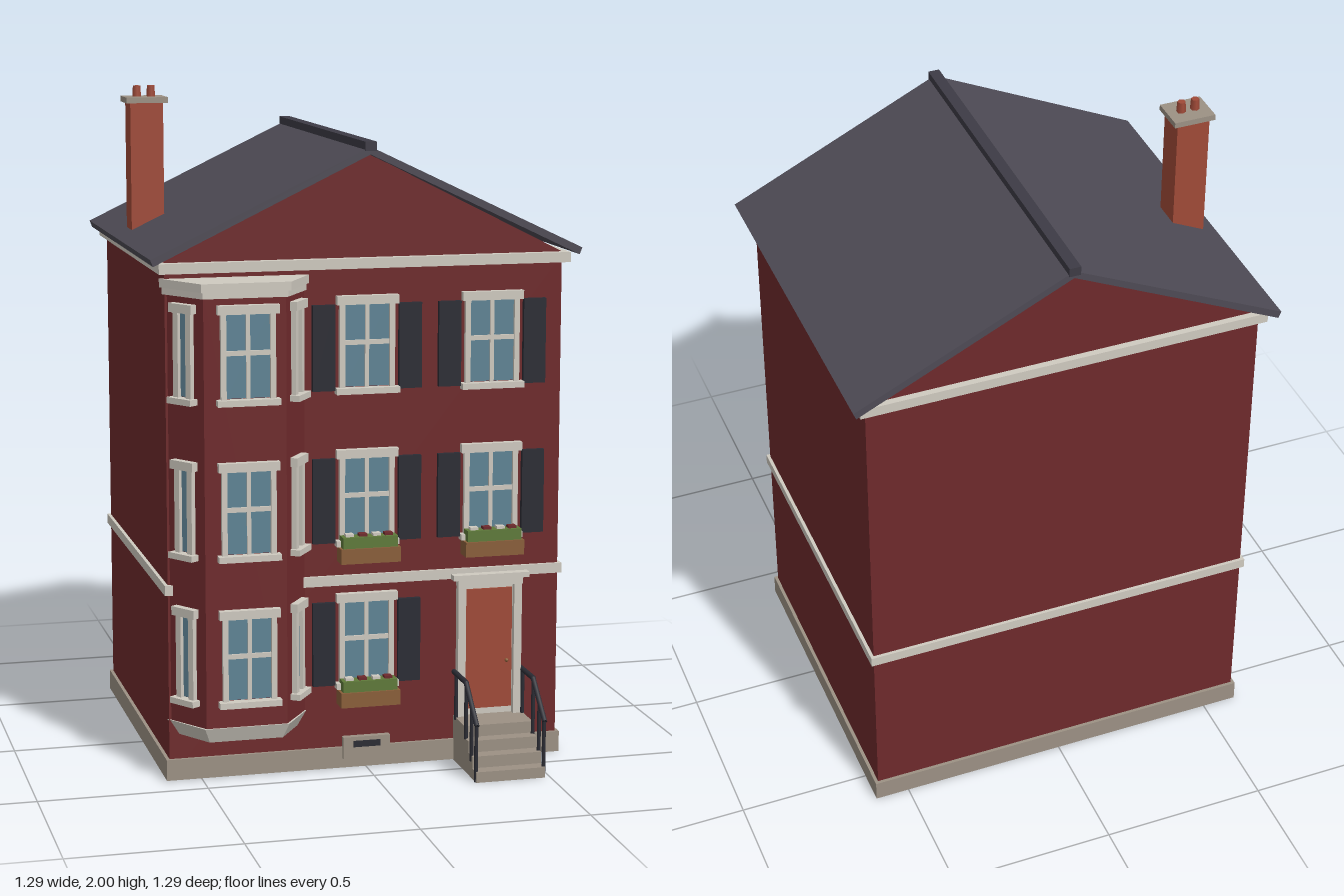
import * as THREE from 'three';

const mat = (name, color) => new THREE.MeshStandardMaterial({ name, color });

export function createModel() {
  const M = {
    brick: mat('brick', 0x6e2a2c), roof: mat('slate', 0x4e4b55), trim: mat('trim', 0xcfcac0),
    stone: mat('stone', 0x9c9184), terracotta: mat('terracotta', 0xa04a38), glass: mat('glass', 0x5f8495),
    dark: mat('charcoal', 0x2b2c34), leaf: mat('foliage', 0x5f7a3a), wood: mat('planterWood', 0x8a5f3a),
    ridge: mat('ridgeSlate', 0x3d3b45),
  };
  const house = new THREE.Group();
  house.name = 'townhouse';

  const add = (parent, name, geo, m) => {
    const mesh = new THREE.Mesh(geo, m);
    mesh.name = name;
    parent.add(mesh);
    return mesh;
  };
  // Box given by its limits on each axis
  const box = (parent, name, m, x0, x1, y0, y1, z0, z1) => {
    const mesh = add(parent, name, new THREE.BoxGeometry(x1 - x0, y1 - y0, z1 - z0), m);
    mesh.position.set((x0 + x1) / 2, (y0 + y1) / 2, (z0 + z1) / 2);
    return mesh;
  };
  const group = (name, x, y, z, angle = 0) => {
    const g = new THREE.Group();
    g.name = name;
    g.position.set(x, y, z);
    g.rotation.y = angle;
    house.add(g);
    return g;
  };
  const extrude = (points, depth) => new THREE.ExtrudeGeometry(
    new THREE.Shape(points.map(([x, y]) => new THREE.Vector2(x, y))), { depth, bevelEnabled: false });

  // Main walls and horizontal courses
  box(house, 'walls', M.brick, -0.595, 0.595, 0, 1.52, -0.595, 0.4);
  box(house, 'foundation', M.stone, -0.605, 0.605, 0.002, 0.065, -0.605, 0.41);
  box(house, 'beltCourse', M.trim, -0.605, 0.605, 0.56, 0.59, -0.605, 0.41);
  box(house, 'cornice', M.trim, -0.615, 0.615, 1.5, 1.53, -0.615, 0.425);

  // Gables, roof and ridge
  add(house, 'gables', extrude([[-0.595, 1.53], [0.595, 1.53], [0, 1.832]], 0.995), M.brick).position.z = -0.595;
  add(house, 'roof', extrude([[0, 1.852], [-0.643, 1.545], [-0.635, 1.525], [0, 1.83],
    [0.635, 1.525], [0.643, 1.545]], 1.085), M.roof).position.z = -0.64;
  box(house, 'ridgeCap', M.ridge, -0.017, 0.017, 1.84, 1.867, -0.645, 0.45);

  // Chimney
  box(house, 'chimney', M.terracotta, -0.595, -0.495, 1.5, 1.95, -0.215, -0.127);
  box(house, 'chimneyCap', M.stone, -0.608, -0.482, 1.95, 1.967, -0.225, -0.118);
  for (const x of [-0.567, -0.524]) {
    add(house, 'chimneyPot', new THREE.CylinderGeometry(0.012, 0.014, 0.036, 6), M.terracotta)
      .position.set(x, 1.982, -0.172);
  }

  // Bay: stacked prisms with a trapezoid plan
  const bayX = -0.387;
  const bayPart = (name, m, front, back, z, y0, y1, taper = 1) => {
    const geo = extrude([[-back, -0.39], [-front, -z], [front, -z], [back, -0.39]], y1 - y0);
    geo.rotateX(-Math.PI / 2);
    const p = geo.attributes.position;
    for (let i = 0; i < p.count; i++) {
      if (p.getY(i) < 1e-5) p.setXYZ(i, p.getX(i) * taper, 0, 0.39 + (p.getZ(i) - 0.39) * taper);
    }
    geo.computeVertexNormals();
    add(house, name, geo, m).position.set(bayX, y0, 0);
  };
  bayPart('bayCorbel', M.trim, 0.125, 0.212, 0.525, 0.14, 0.185, 0.87);
  bayPart('bayWalls', M.brick, 0.12, 0.208, 0.52, 0.18, 1.455);
  bayPart('bayFrieze', M.trim, 0.124, 0.214, 0.53, 1.44, 1.46);
  bayPart('bayCap', M.trim, 0.13, 0.222, 0.545, 1.46, 1.485);

  // Window with its outer bottom edge at y = 0 and the wall at z = 0
  const addWindow = (x, y, z, w, angle = 0, shutters = false) => {
    const g = group('window', x, y, z, angle);
    const h = w / 2, t = w > 0.12 ? 0.016 : 0.02;
    box(g, 'glass', M.glass, -h + t, h - t, 0.02, 0.265, -0.005, 0.004);
    for (const s of [-1, 1]) {
      box(g, 'jamb', M.trim, s * (h - t / 2) - t / 2, s * (h - t / 2) + t / 2, 0.015, 0.27, 0, 0.015);
      if (shutters) box(g, 'shutter', M.dark, s * 0.13 - 0.034, s * 0.13 + 0.034, 0.01, 0.262, 0, 0.015);
    }
    box(g, 'sill', M.trim, -h - 0.012, h + 0.012, 0, 0.018, 0, 0.03);
    box(g, 'lintel', M.trim, -h - 0.01, h + 0.01, 0.262, 0.288, 0, 0.022);
    if (w > 0.12) {
      box(g, 'mullion', M.trim, -0.006, 0.006, 0.018, 0.262, 0, 0.01);
      box(g, 'meetingRail', M.trim, -h + t, h - t, 0.143, 0.157, 0, 0.01);
    }
  };
  const rows = [0.248, 0.68, 1.133];
  const slant = Math.atan2(0.13, 0.088);
  rows.forEach((y, i) => {
    addWindow(bayX + 0.007, y, 0.52, 0.16);
    for (const s of [-1, 1]) addWindow(bayX + s * 0.161, y, 0.459, 0.07, s * slant);
    addWindow(0, y, 0.4, 0.166, 0, true);
    if (i > 0) addWindow(0.38, y, 0.4, 0.166, 0, true);
  });

  // Flower boxes
  for (const [x, y] of [[0, 0.2], [0, 0.635], [0.38, 0.635]]) {
    const g = group('flowerBox', x, y, 0.4);
    box(g, 'planter', M.wood, -0.09, 0.09, 0, 0.045, 0.005, 0.062);
    box(g, 'foliage', M.leaf, -0.083, 0.083, 0.045, 0.078, 0.012, 0.056);
    [-0.06, -0.02, 0.022, 0.058].forEach((fx, i) => box(g, 'flower', i % 2 ? M.brick : M.trim,
      fx - 0.012, fx + 0.012, 0.068, 0.086, 0.022, 0.046));
  }

  // Front door
  const door = group('door', 0.378, 0.137, 0.4);
  box(door, 'doorBacking', M.trim, -0.093, 0.093, 0, 0.42, -0.01, 0.006);
  box(door, 'doorLeaf', M.terracotta, -0.072, 0.072, 0.02, 0.388, 0, 0.013);
  for (const s of [-1, 1]) box(door, 'doorJamb', M.trim, s * 0.087 - 0.012, s * 0.087 + 0.012, 0, 0.415, 0, 0.025);
  box(door, 'doorHead', M.trim, -0.1, 0.1, 0.4, 0.422, 0, 0.028);
  box(door, 'doorCap', M.trim, -0.118, 0.118, 0.422, 0.438, 0, 0.038);
  add(door, 'knob', new THREE.SphereGeometry(0.006, 8, 6), M.wood).position.set(0.055, 0.165, 0.018);

  // Front steps
  [0.52, 0.56, 0.602, 0.643].forEach((z, i) =>
    box(house, 'step', M.stone, 0.272, 0.484, 0, 0.137 - i * 0.035, 0.4, z));

  // Railings on both sides of the steps
  const bar = (a, b, r) => {
    const from = new THREE.Vector3(...a), to = new THREE.Vector3(...b);
    const dir = to.clone().sub(from);
    const m = add(house, 'railing', new THREE.CylinderGeometry(r, r, dir.length(), 8), M.dark);
    m.position.copy(from).add(to).multiplyScalar(0.5);
    m.quaternion.setFromUnitVectors(new THREE.Vector3(0, 1, 0), dir.normalize());
  };
  for (const x of [0.274, 0.482]) {
    bar([x, 0.17, 0.638], [x, 0.272, 0.525], 0.008);
    bar([x, 0.272, 0.528], [x, 0.272, 0.4], 0.008);
    for (const [z, y0, y1] of [[0.632, 0, 0.175], [0.586, 0.05, 0.217], [0.528, 0.1, 0.272], [0.425, 0.13, 0.272]]) {
      bar([x, y0, z], [x, y1, z], 0.006);
    }
  }

  // Basement vent
  box(house, 'ventFrame', M.stone, -0.073, 0.07, 0.03, 0.097, 0.4, 0.42);
  box(house, 'ventGrille', M.dark, -0.042, 0.04, 0.066, 0.085, 0.416, 0.423);
  return house;
}
